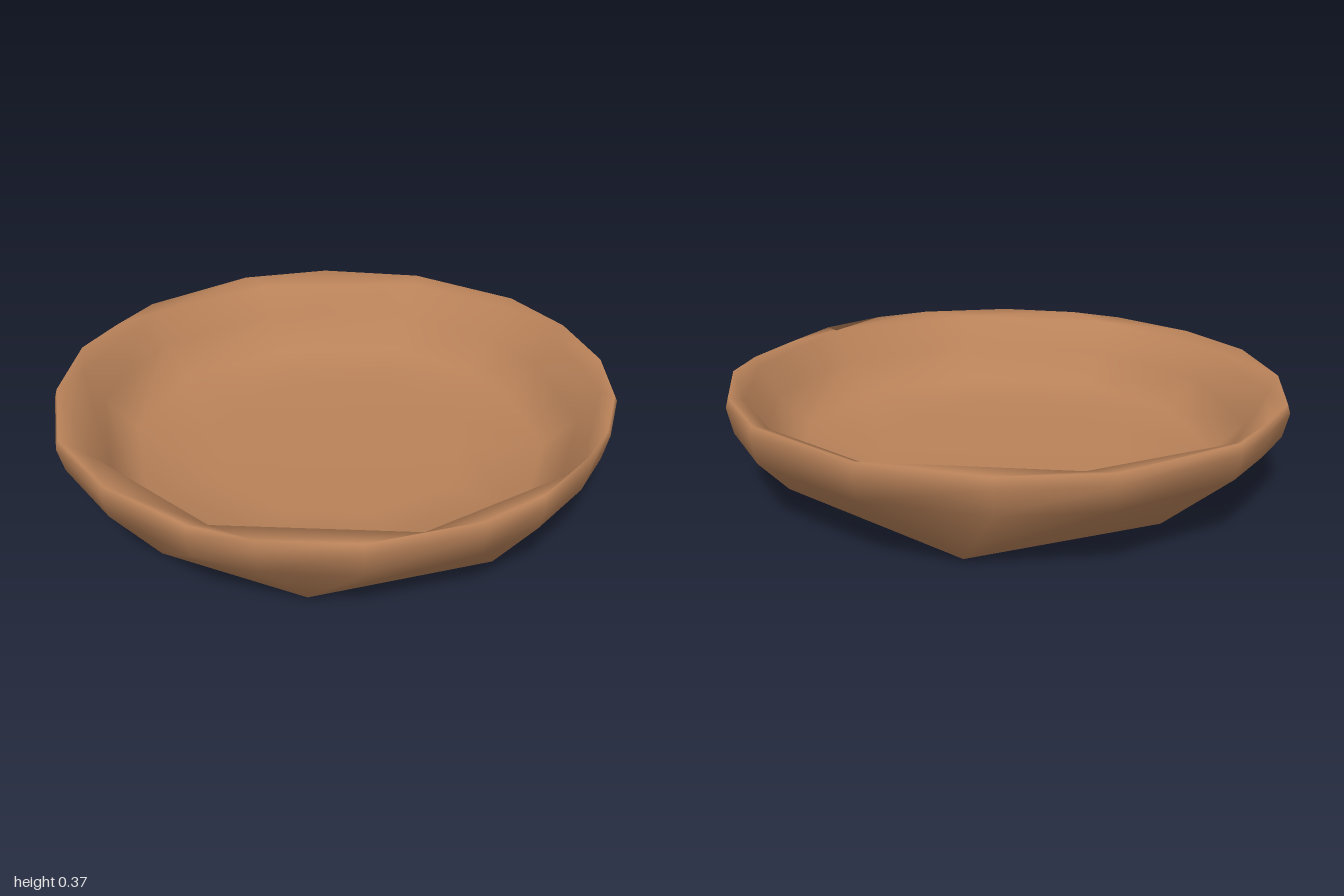
import * as THREE from 'three';
import { mergeVertices } from 'three/addons/utils/BufferGeometryUtils.js';

// Irregular hand-shaped outer outline, as x, z pairs.
const outline = [
  [-0.17, -1], [0.19, -0.985], [0.57, -0.82], [0.88, -0.48], [0.98, -0.18],
  [0.99, 0.13], [0.93, 0.37], [0.8, 0.58], [0.65, 0.74], [0.43, 0.9],
  [0.21, 0.98], [-0.16, 0.995], [-0.46, 0.9], [-0.64, 0.78], [-0.87, 0.51],
  [-1, 0.2], [-1, -0.16], [-0.9, -0.48], [-0.76, -0.65], [-0.6, -0.82],
];

// Coarser outlines of the foot and of the inner lip.
const foot = [
  [0.25, -0.79], [0.79, -0.19], [0.76, 0.33], [0.34, 0.75],
  [-0.28, 0.77], [-0.7, 0.43], [-0.78, -0.02], [-0.42, -0.62],
];
const lip = [
  [-0.09, -0.92], [0.53, -0.78], [0.82, -0.45], [0.92, -0.15], [0.9, 0.3],
  [0.61, 0.76], [0.03, 0.95], [-0.57, 0.76], [-0.89, 0.29], [-0.89, -0.3], [-0.6, -0.76],
];

// Cross-section from the hollow under the foot, over the rim, to the inner floor.
// tilt raises the +x side.
const rings = [
  { shape: foot, scale: 0, y: 0.045, tilt: 0 },
  { shape: foot, scale: 0.64, y: 0.045, tilt: 0.01 },
  { shape: foot, scale: 0.78, y: 0.016, tilt: 0.017 },
  { shape: foot, scale: 1, y: 0.016, tilt: 0.017 },
  { shape: outline, scale: 0.98, y: 0.235, tilt: 0.006 },
  { shape: outline, scale: 1, y: 0.325, tilt: 0.01 },
  { shape: outline, scale: 0.99, y: 0.36, tilt: 0.012 },
  { shape: lip, scale: 1, y: 0.34, tilt: 0.01 },
  { shape: lip, scale: 0.93, y: 0.22, tilt: 0.006 },
  { shape: lip, scale: 0.81, y: 0.1, tilt: 0.005 },
  { shape: lip, scale: 0.5, y: 0.078, tilt: 0.005 },
  { shape: lip, scale: 0, y: 0.075, tilt: 0 },
];

// The corner of a shape that lies closest in direction to a point.
function nearestCorner(shape, [x, z]) {
  const along = ([px, pz]) => (px * x + pz * z) / Math.hypot(px, pz);
  return shape.reduce((best, p) => (along(p) > along(best) ? p : best));
}

function bowlGeometry() {
  const n = outline.length;
  const positions = [];
  const index = [];
  rings.forEach(({ shape, scale, y, tilt }, k) => {
    outline.forEach((point, i) => {
      const [x, z] = nearestCorner(shape, point);
      // the upper edge dips a little on the front left
      const dip = y > 0.33 && x > 0.7 && z > 0.25 ? 0.016 : 0;
      positions.push(x * scale, y + tilt * x - dip, z * scale);
      if (k < rings.length - 1) {
        const a = k * n + i, b = k * n + (i + 1) % n;
        index.push(a, a + n, b, b, a + n, b + n);
      }
    });
  });
  const geometry = new THREE.BufferGeometry();
  geometry.setAttribute('position', new THREE.Float32BufferAttribute(positions, 3));
  geometry.setIndex(index);
  // weld the shared corners, then drop the collapsed triangles
  const welded = mergeVertices(geometry);
  const ids = Array.from(welded.index.array);
  const kept = [];
  for (let t = 0; t < ids.length; t += 3) {
    const [a, b, c] = ids.slice(t, t + 3);
    if (a !== b && b !== c && c !== a) kept.push(a, b, c);
  }
  welded.setIndex(kept);
  welded.computeVertexNormals();
  return welded;
}

export function createModel() {
  const group = new THREE.Group();
  group.name = 'shallowBowl';
  const clay = new THREE.MeshStandardMaterial({ color: 0xb98259 });
  clay.name = 'clay brown';
  const bowl = new THREE.Mesh(bowlGeometry(), clay);
  bowl.name = 'bowl';
  group.add(bowl);
  return group;
}
